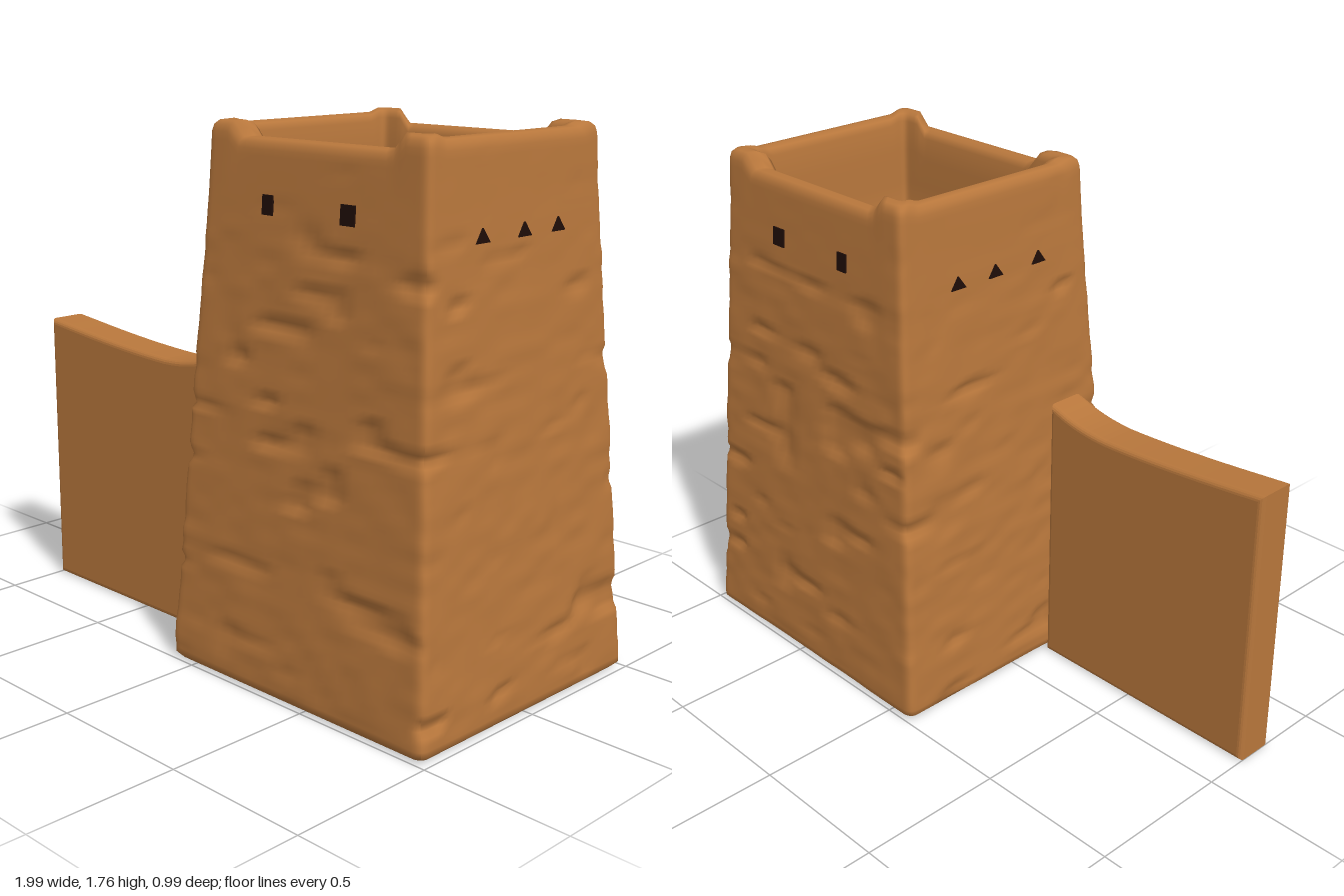
import * as THREE from 'three';

const clay = new THREE.MeshStandardMaterial({ color: 0xb8773c });
clay.name = 'mud clay';
const dark = new THREE.MeshStandardMaterial({ color: 0x1e0d08 });
dark.name = 'dark opening';

const CX = 0.44; // tower centre in x
const { clamp, lerp, smoothstep } = THREE.MathUtils;

// Half depth of the tapering tower at height y; half width is 0.05 more
const halfZ = y => 0.495 - 0.105 * clamp((y - 0.08) / 1.64, 0, 1);

// Seeded smooth noise, 0..1
function hash(x, y, z) {
  const s = Math.sin(x * 127.1 + y * 311.7 + z * 74.7 + 5.3) * 43758.5453;
  return s - Math.floor(s);
}
function noise(x, y, z) {
  const [i, j, k] = [x, y, z].map(Math.floor);
  const [u, v, w] = [x - i, y - j, z - k].map(t => t * t * (3 - 2 * t));
  const edge = (b, c) => lerp(hash(i, j + b, k + c), hash(i + 1, j + b, k + c), u);
  return lerp(lerp(edge(0, 0), edge(1, 0), v), lerp(edge(0, 1), edge(1, 1), v), w);
}

// Rounded unit square, running +x along the front and on around
function outline(perSide) {
  const points = [], r = 0.06;
  for (let side = 0; side < 4; side++) {
    for (let i = 0; i < perSide; i++) {
      const s = Math.sin((i / perSide - 0.5) * Math.PI);
      const [u, v] = [[s, 1], [1, -s], [-s, -1], [-1, s]][side];
      const cu = clamp(u, r - 1, 1 - r), cv = clamp(v, r - 1, 1 - r);
      const d = Math.hypot(u - cu, v - cv);
      points.push([cu + (u - cu) / d * r, cv + (v - cv) / d * r]);
    }
  }
  return points;
}

// Rows of [half width, half depth, height, roughness]
function towerRows() {
  const rows = [[0, 0, 0.01, 0], [0.3, 0.27, 0.01, 0], [0.5, 0.455, 0.01, 0], [0.528, 0.478, 0.013, 0]];
  const steps = 90;
  for (let i = 0; i <= steps; i++) {
    const y = lerp(0.03, 1.69, i / steps);
    const h = halfZ(y);
    rows.push([h + 0.05, h, y, 1 - smoothstep(y, 1.4, 1.5) * 0.8]);
  }
  // rounded rim
  for (const [w, y] of [[0.437, 1.708], [0.425, 1.72], [0.4, 1.724], [0.38, 1.716], [0.367, 1.695]]) rows.push([w, w - 0.05, y, 0]);
  // sunken roof
  for (const [w, y] of [[0.362, 1.62], [0.36, 1.52], [0.358, 1.42], [0.345, 1.395]]) rows.push([w, w - 0.05, y, 0]);
  rows.push([0.28, 0.24, 1.385, 0], [0.14, 0.12, 1.38, 0], [0, 0, 1.38, 0]);
  return rows;
}

function towerGeometry() {
  const ring = outline(40), rows = towerRows(), n = ring.length;
  const positions = [], index = [];
  rows.forEach(([w, h, y, rough], i) => {
    ring.forEach(([u, v], j) => {
      const x = u * w, z = v * h;
      // horizontal dents and a gentle unevenness
      const dent = smoothstep(noise(x * 7 + 20, y * 17, z * 7 + 20), 0.66, 0.95);
      const bump = noise(x * 12 + 50, y * 22, z * 12 + 50) - 0.5;
      const k = 1 + rough * (bump * 0.012 - dent * 0.035);
      // side rims stand higher than front and back, corners highest
      const side = smoothstep(Math.abs(u), 0.72, 0.8);
      const corner = side * smoothstep(Math.abs(v), 0.8, 0.93);
      const rise = (0.033 * side + 0.012 * corner) * smoothstep(y, 1.55, 1.71);
      positions.push(CX + x * k, y + rise, z * k);
      if (i < rows.length - 1) {
        const a = i * n + j, b = i * n + (j + 1) % n;
        index.push(a, b, b + n, a, b + n, a + n);
      }
    });
  });
  const g = new THREE.BufferGeometry();
  g.setAttribute('position', new THREE.Float32BufferAttribute(positions, 3));
  g.setIndex(index);
  g.computeVertexNormals();
  return g;
}

// Low wall with a sagging top
function wallGeometry() {
  const b = 0.018, x0 = -1 + b, x1 = -0.11 - b;
  const shape = new THREE.Shape();
  shape.moveTo(x0, 0.01 + b);
  shape.lineTo(x1, 0.01 + b);
  shape.lineTo(x1, 0.985 - b);
  shape.quadraticCurveTo(-0.22, 0.945 - b, -0.36, 0.942 - b);
  shape.quadraticCurveTo(-0.6, 0.945 - b, x0, 0.987 - b);
  shape.closePath();
  const g = new THREE.ExtrudeGeometry(shape, { depth: 0.145 - 2 * b, bevelSize: b, bevelThickness: b, bevelSegments: 4, curveSegments: 10 });
  g.translate(0, 0, 0.145 + b);
  return g;
}

export function createModel() {
  const model = new THREE.Group();
  const add = (name, geometry, material, parent = model) => {
    const mesh = new THREE.Mesh(geometry, material);
    mesh.name = name;
    parent.add(mesh);
    return mesh;
  };
  add('tower', towerGeometry(), clay);
  add('sideWall', wallGeometry(), clay);

  // Square windows front and back, triangular vents on the sides
  const triangle = new THREE.Shape([[-0.03, -0.02], [0.03, -0.02], [0, 0.022]].map(p => new THREE.Vector2(...p)));
  const vent = new THREE.ExtrudeGeometry(triangle, { depth: 0.008, bevelEnabled: false });
  vent.translate(0, 0, -0.004);
  const lean = Math.atan(0.105 / 1.64);
  const opening = (name, geometry, angle, along, y, half) => {
    const holder = new THREE.Group();
    holder.position.x = CX;
    holder.rotation.y = angle;
    const mesh = add(name, geometry, dark, holder);
    mesh.position.set(along, y, half + 0.002);
    mesh.rotation.x = -lean;
    model.add(holder);
  };
  for (const facing of [1, -1]) {
    for (const [x, width] of [[0.27, 0.042], [0.597, 0.055]]) {
      opening('window', new THREE.BoxGeometry(width, 0.06, 0.008), facing > 0 ? 0 : Math.PI, (x - CX) * facing, 1.53, halfZ(1.53));
    }
    for (const z of [0.175, -0.015, -0.175]) {
      opening('vent', vent, facing * Math.PI / 2, -z * facing, 1.48, halfZ(1.48) + 0.05);
    }
  }
  return model;
}
